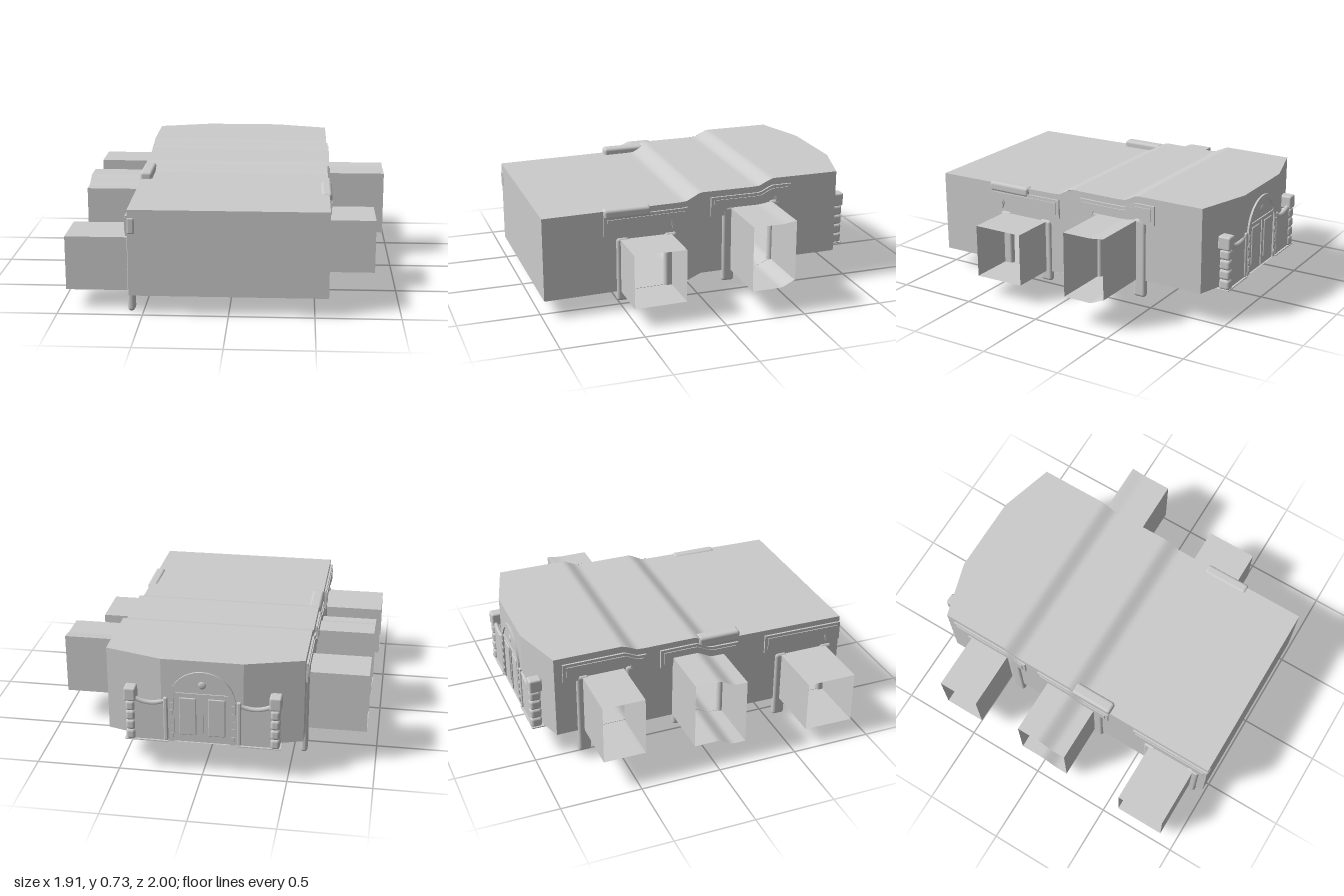
import * as THREE from 'three';
import { RoundedBoxGeometry } from 'three/addons/geometries/RoundedBoxGeometry.js';

const mat = new THREE.MeshStandardMaterial({ color: 0xcccccc });
const thin = new THREE.MeshStandardMaterial({ color: 0xcccccc, side: THREE.DoubleSide });
const W = 0.58, FRONT = 0.99, SHOULDER = -0.88, BACK = -0.98, BACK_W = 0.24;

// stepped heights of floor and roof along the hall
const ease = (z, a, b) => THREE.MathUtils.smoothstep(-z, -a, -b);
const floorY = z => 0.115 + 0.012 * (1 - Math.max(z, 0.1)) + 0.045 * ease(z, 0.12, 0) + 0.038 * ease(z, -0.35, -0.46);
const roofY = z => 0.63 + 0.012 * (1 - Math.max(z, 0.1)) + 0.048 * ease(z, 0.12, 0) + 0.042 * ease(z, -0.35, -0.46);

const range = (a, b, n) => Array.from({ length: n + 1 }, (_, i) => a + (b - a) * i / n);

function add(parent, name, geo, material = mat) {
  const m = new THREE.Mesh(geo, material);
  m.name = name;
  parent.add(m);
  return m;
}

// surface through rows of points
function sheet(rows) {
  const n = rows[0].length, index = [];
  for (let i = 0; i < rows.length - 1; i++)
    for (let j = 0; j < n - 1; j++) {
      const a = i * n + j, b = a + n;
      index.push(a, a + 1, b, a + 1, b + 1, b);
    }
  const g = new THREE.BufferGeometry();
  g.setAttribute('position', new THREE.Float32BufferAttribute(rows.flat(2), 3));
  g.setIndex(index);
  g.computeVertexNormals();
  return g;
}

// outline in (z, y) between two height rules
function outline(z0, z1, low, high) {
  const zs = range(z0, z1, 40);
  return [...zs.map(z => new THREE.Vector2(z, low(z))), ...zs.reverse().map(z => new THREE.Vector2(z, high(z)))];
}

function box(parent, name, size, pos, r = 0) {
  const g = r ? new RoundedBoxGeometry(...size, 3, r) : new THREE.BoxGeometry(...size);
  const m = add(parent, name, g);
  m.position.set(...pos);
  return m;
}

// side, sleeve span in z, outer x, top rule, header span, posts [z, bottom, top]
const bays = [
  { s: 1, z0: 0.2, z1: 0.52, x: 0.87, top: () => 0.45, head: [0.1, 0.62], posts: [[0.505, 0.06], [0.205, 0.06]] },
  { s: 1, z0: -0.45, z1: -0.18, x: 0.955, top: z => 0.52 + 0.3 * floorY(z), head: [-0.57, -0.05], posts: [[-0.165, 0.1], [-0.47, 0.1]] },
  { s: -1, z0: 0.59, z1: 0.9, x: 0.96, top: () => 0.44, head: [0.47, 0.99], posts: [[0.9, 0], [0.59, 0]] },
  { s: -1, z0: -0.14, z1: 0.19, x: 0.94, top: z => 0.42 + floorY(z), head: [-0.22, 0.29], posts: [[0.205, 0.06], [-0.1, 0.1]] },
  { s: -1, z0: -0.71, z1: -0.45, x: 0.94, top: () => 0.578, head: [-0.83, -0.31], posts: [[-0.4, 0.06], [-0.71, 0.06]] },
];

function buildHall(root) {
  const hall = new THREE.Group();
  hall.name = 'hall';
  root.add(hall);
  const zs = [...range(FRONT, SHOULDER, 110), BACK];
  const half = z => (z === BACK ? BACK_W : W);
  add(hall, 'roof', sheet(zs.map(z => [[-half(z), roofY(z), z], [half(z), roofY(z), z]])), thin);
  add(hall, 'floor', sheet(zs.map(z => [[half(z), floorY(z), z], [-half(z), floorY(z), z]])), thin);
  // front, back and angled walls
  const wall = (name, x0, z0, x1, z1) => add(hall, name, sheet([
    [[x0, floorY(z0), z0], [x1, floorY(z1), z1]], [[x0, roofY(z0), z0], [x1, roofY(z1), z1]]]), thin);
  wall('frontWall', -W, FRONT, W, FRONT);
  wall('backWall', BACK_W, BACK, -BACK_W, BACK);
  wall('leftAngledWall', W, SHOULDER, BACK_W, BACK);
  wall('rightAngledWall', -BACK_W, BACK, -W, SHOULDER);
  // side walls with doorways
  for (const s of [-1, 1]) {
    const shape = new THREE.Shape(outline(SHOULDER, FRONT, floorY, roofY));
    for (const b of bays.filter(b => b.s === s))
      shape.holes.push(new THREE.Path(outline(b.z0, b.z1, z => floorY(z) + 0.002, b.top)));
    const g = new THREE.ShapeGeometry(shape);
    g.rotateY(-Math.PI / 2);
    g.translate(s * W, 0, 0);
    add(hall, s > 0 ? 'leftWall' : 'rightWall', g, thin);
  }
}

function buildBay(root, b) {
  const bay = new THREE.Group();
  bay.name = 'sideBay';
  root.add(bay);
  // passage open at its outer end
  const xa = b.s * W, xb = b.s * b.x, zs = range(b.z0, b.z1, 24);
  for (const [name, f] of [['passageFloor', floorY], ['passageRoof', b.top]])
    add(bay, name, sheet(zs.map(z => [[xa, f(z), z], [xb, f(z), z]])), thin);
  for (const z of [b.z0, b.z1])
    add(bay, 'passageWall', sheet([[[xa, floorY(z), z], [xb, floorY(z), z]], [[xa, b.top(z), z], [xb, b.top(z), z]]]), thin);
  // door posts reaching below the floor
  for (const [z, y0] of b.posts) {
    const y1 = b.top(z) + 0.01;
    box(bay, 'doorPost', [0.042, y1 - y0, 0.08], [b.s * 0.572, (y0 + y1) / 2, z], 0.018);
  }
  // header board with dropped ends, and a raised inner board
  const [h0, h1] = b.head;
  const board = (name, inset, lo, hi, drop, depth) => {
    const low = z => floorY(z) + lo - (Math.min(z - h0, h1 - z) < 0.1 ? drop : 0);
    const shape = new THREE.Shape(outline(h0 + inset, h1 - inset, low, z => floorY(z) + hi));
    const g = new THREE.ExtrudeGeometry(shape, { depth, bevelEnabled: false });
    g.rotateY(-Math.PI / 2);
    g.translate(b.s > 0 ? W + depth : -W, 0, 0);
    add(bay, name, g);
  };
  board('headerBoard', 0, 0.405, 0.48, 0.045, 0.012);
  board('headerInset', 0.02, 0.42, 0.462, 0.035, 0.018);
}

function buildEntrance(root) {
  const door = new THREE.Group();
  door.name = 'archedEntrance';
  root.add(door);
  const y0 = floorY(BACK), spring = 0.47;
  const arch = (r, C = THREE.Shape) => {
    const p = new C();
    p.moveTo(-r, y0);
    p.lineTo(r, y0);
    p.lineTo(r, spring);
    p.absarc(0, spring, r, 0, Math.PI);
    p.closePath();
    return p;
  };
  const slab = (name, shape, depth) => {
    const g = new THREE.ExtrudeGeometry(shape, { depth, bevelEnabled: false, curveSegments: 24 });
    g.translate(0, 0, BACK - depth);
    add(door, name, g);
  };
  const frame = arch(0.195);
  frame.holes.push(arch(0.165, THREE.Path));
  slab('archFrame', frame, 0.012);
  slab('doorLeaf', arch(0.165), 0.003);
  box(door, 'doorLintel', [0.32, 0.012, 0.012], [0, 0.52, BACK - 0.004]);
  box(door, 'doorSeam', [0.012, 0.3, 0.01], [0, y0 + 0.155, BACK - 0.004]);
  const knob = add(door, 'archOrnament', new THREE.SphereGeometry(0.025, 16, 10));
  knob.position.set(0, 0.58, BACK);
  knob.scale.z = 0.4;
  for (const s of [-1, 1]) {
    box(door, 'doorPanel', [0.1, 0.24, 0.016], [s * 0.085, 0.375, BACK - 0.002], 0.005);
    for (let i = 0; i < 5; i++)
      box(door, 'frameStud', [0.018, 0.03, 0.012], [s * 0.18, 0.25 + i * 0.05, BACK - 0.01]);

    // flanking gate: dipping wall, scalloped post, cap and base plate
    const gate = new THREE.Group();
    gate.name = 'flankingGate';
    gate.scale.x = s;
    root.add(gate);
    const wall = new THREE.Shape();
    wall.moveTo(0.205, y0);
    wall.lineTo(0.41, y0);
    wall.lineTo(0.41, 0.47);
    wall.quadraticCurveTo(0.3, 0.41, 0.205, 0.47);
    wall.closePath();
    const g = new THREE.ExtrudeGeometry(wall, { depth: 0.03, bevelEnabled: false });
    g.translate(0, 0, -0.985);
    add(gate, 'gateWall', g);
    const rail = new THREE.QuadraticBezierCurve3(
      new THREE.Vector3(0.205, 0.475, -0.975), new THREE.Vector3(0.3, 0.415, -0.975), new THREE.Vector3(0.41, 0.475, -0.975));
    add(gate, 'gateRail', new THREE.TubeGeometry(rail, 12, 0.014, 8));
    for (let i = 0; i < 4; i++)
      box(gate, 'postBlock', [0.055, 0.066, 0.07], [0.425, 0.235 + i * 0.062, -0.963], 0.018);
    box(gate, 'postCap', [0.07, 0.085, 0.08], [0.425, 0.495, -0.96], 0.012);
    box(gate, 'innerPost', [0.025, 0.28, 0.04], [0.215, 0.35, -0.975], 0.008);
    box(gate, 'basePlate', [0.26, 0.006, 0.15], [0.33, 0.205, -0.922]);
  }
}

export function createModel() {
  const root = new THREE.Group();
  root.name = 'steppedHall';
  buildHall(root);
  bays.forEach(b => buildBay(root, b));
  buildEntrance(root);

  // beam ends showing through the roof and front wall
  box(root, 'rightBeam', [0.075, 0.07, 0.27], [-0.552, 0.645, 0.165], 0.018);
  box(root, 'leftBeam', [0.065, 0.06, 0.29], [0.565, 0.614, 0.475], 0.018);
  box(root, 'frontBeam', [0.045, 0.1, 0.06], [-0.56, 0.535, 0.967], 0.012);

  // slatted rack on the inner wall
  const rack = new THREE.Group();
  rack.name = 'slattedRack';
  root.add(rack);
  for (const z of [0.28, 0.48]) box(rack, 'rackUpright', [0.03, 0.3, 0.016], [-0.56, 0.28, z]);
  for (let i = 0; i < 5; i++) box(rack, 'rackSlat', [0.04, 0.014, 0.2], [-0.555, 0.17 + i * 0.064, 0.38]);
  return root;
}
